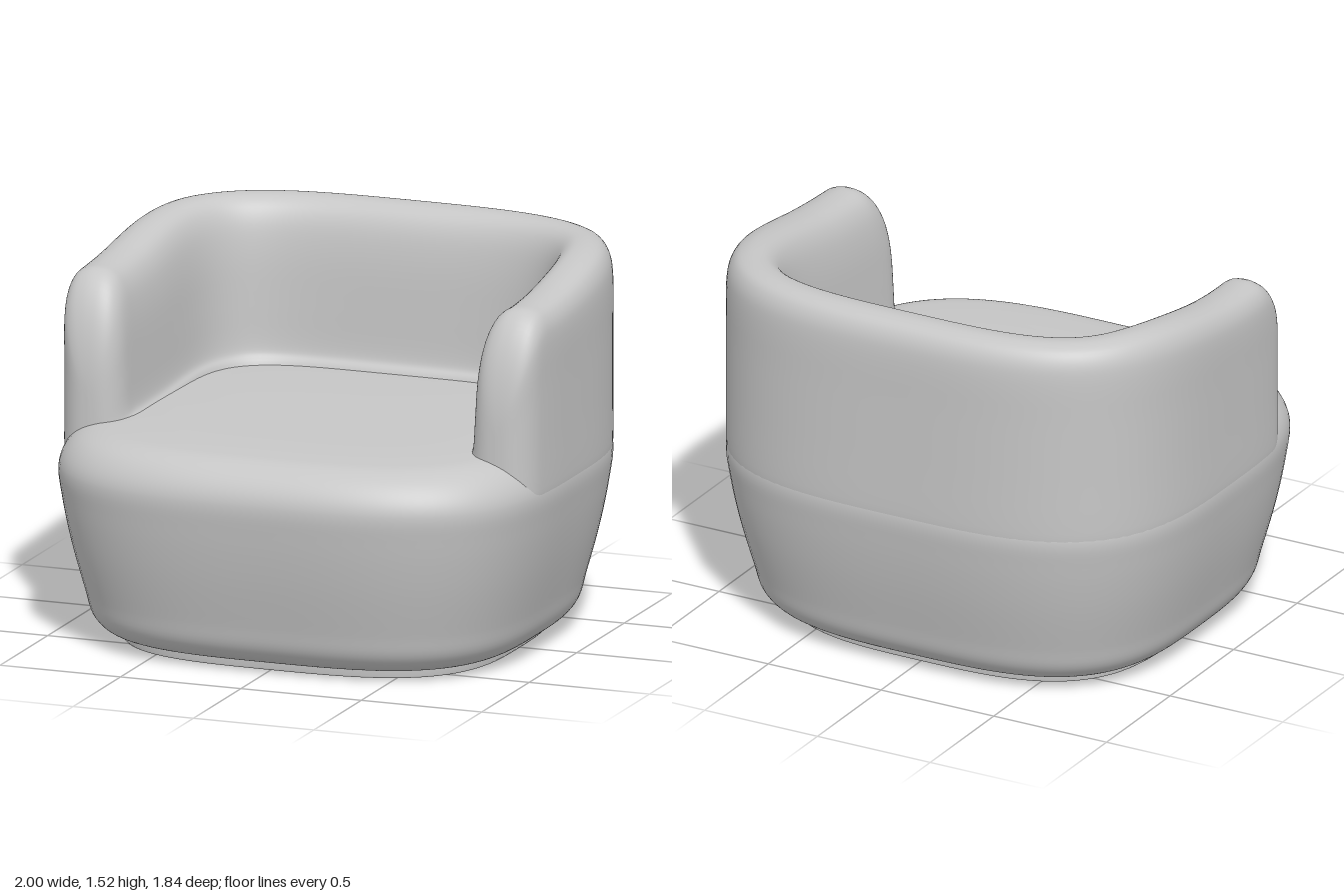
import * as THREE from 'three';

const HALF_X = 1, HALF_Z = 0.92, ROUND = 3.2;

// Rounded-square outline: radius at a polar angle
function radius(angle, a, b, n) {
  const c = Math.abs(Math.cos(angle) / a), s = Math.abs(Math.sin(angle) / b);
  return Math.pow(Math.pow(c, n) + Math.pow(s, n), -1 / n);
}

// Skin a grid of points; faces point along (row direction x column direction)
function skin(rows, closed) {
  const n = rows[0].length, index = [];
  for (let i = 0; i < rows.length - 1; i++) {
    for (let j = 0; j < (closed ? n : n - 1); j++) {
      const k = (j + 1) % n;
      const a = i * n + j, b = i * n + k, c = a + n, d = b + n;
      index.push(a, c, b, b, c, d);
    }
  }
  const geometry = new THREE.BufferGeometry();
  geometry.setAttribute('position', new THREE.Float32BufferAttribute(rows.flat(2), 3));
  geometry.setIndex(index);
  geometry.computeVertexNormals();
  return geometry;
}

// One horizontal ring of the body outline, pulled in by an inset
function ring(inset, y, scale = 1) {
  const points = [];
  for (let j = 0; j < 128; j++) {
    const t = (j / 128) * Math.PI * 2;
    const r = scale * radius(t, HALF_X - inset, HALF_Z - inset, ROUND);
    points.push([r * Math.cos(t), y, r * Math.sin(t)]);
  }
  return points;
}

function smooth(points, count) {
  const curve = new THREE.CatmullRomCurve3(points.map(([x, y]) => new THREE.Vector3(x, y, 0)));
  return curve.getPoints(count);
}

// Upholstered base with the seat cushion on top
function bodyGeometry() {
  const profile = smooth([
    [0.27, 0.03], [0.21, 0.035], [0.16, 0.06], [0.12, 0.11], [0.095, 0.2], [0.045, 0.4],
    [0.012, 0.58], [0, 0.7], [0.02, 0.765], [0.065, 0.82], [0.13, 0.853], [0.22, 0.865], [0.4, 0.875],
  ], 60);
  return skin([
    ring(0.27, 0.03, 0.001),
    ...profile.map((p) => ring(p.x, p.y)),
    ring(0.4, 0.88, 0.5),
    ring(0.4, 0.88, 0.001),
  ], true);
}

// Plinth with doubled rings for crisp edges
function plinthGeometry() {
  return skin([
    ring(0.23, 0, 0.001), ring(0.235, 0), ring(0.235, 0), ring(0.23, 0.006),
    ring(0.23, 0.045), ring(0.23, 0.045), ring(0.23, 0.045, 0.001),
  ], true);
}

// Wrap-around back and arms: a rounded section swept along the U
function shellGeometry() {
  const base = 0.69;
  // x: outer wall (0) to inner wall (1), y: share of the height
  const section = smooth([
    [0.01, 0], [0, 0.05], [0, 0.3], [0, 0.6], [0, 0.82], [0.03, 0.905], [0.12, 0.965], [0.28, 0.995],
    [0.45, 1], [0.62, 0.985], [0.76, 0.94], [0.86, 0.86], [0.93, 0.72], [0.97, 0.5], [1, 0.32],
    [1.03, 0.265], [1.1, 0.235], [1.15, 0.2],
  ], 64);

  // Each station: outer point, inner point, width factor
  const half = [];
  for (let i = 0; i <= 28; i++) {
    const z = 0.47 * Math.cos((i / 28) * Math.PI / 2);
    const s = Math.min(1, Math.max(0, (z - 0.33) / 0.14));
    const x = HALF_X * Math.pow(1 - Math.pow(z / HALF_Z, ROUND), 1 / ROUND);
    const width = Math.pow(Math.max(0, 1 - Math.pow(s, 2.6)), 1 / 2.6);
    half.push({ outer: [x, z], inner: [0.72, z], width });
  }
  for (let i = 1; i <= 48; i++) {
    const t = -(i / 48) * Math.PI / 2;
    const ro = radius(t, HALF_X, HALF_Z, ROUND), ri = radius(t, 0.72, 0.65, 4.5);
    half.push({
      outer: [ro * Math.cos(t), ro * Math.sin(t)],
      inner: [ri * Math.cos(t), ri * Math.sin(t)],
      width: 1,
    });
  }
  const flip = ([x, z]) => [-x, z];
  const mirrored = half.slice(0, -1).reverse()
    .map((p) => ({ outer: flip(p.outer), inner: flip(p.inner), width: p.width }));

  const rows = [...half, ...mirrored].map(({ outer, inner, width }) => {
    const z = outer[1];
    // Top line rises to the back and rolls over at the arm fronts
    const nose = Math.min(1, Math.max(0, (z - 0.27) / 0.2));
    const height = 1.43 + 0.085 * THREE.MathUtils.smoothstep(-z, -0.25, 0.65)
      - 0.45 * (1 - Math.sqrt(1 - nose * nose));
    return section.map((p) => {
      const v = 0.48 + (p.x - 0.48) * width;
      return [
        outer[0] + (inner[0] - outer[0]) * v,
        base + (height - base) * p.y,
        outer[1] + (inner[1] - outer[1]) * v,
      ];
    });
  });
  return skin(rows, false);
}

export function createModel() {
  const fabric = new THREE.MeshStandardMaterial({ color: 0xc6c6c6, side: THREE.DoubleSide });
  fabric.name = 'light grey fabric';

  const model = new THREE.Group();
  model.name = 'tubArmchair';
  const add = (name, geometry) => {
    const mesh = new THREE.Mesh(geometry, fabric);
    mesh.name = name;
    model.add(mesh);
  };
  add('plinth', plinthGeometry());
  add('seatBody', bodyGeometry());
  add('backAndArms', shellGeometry());
  return model;
}
